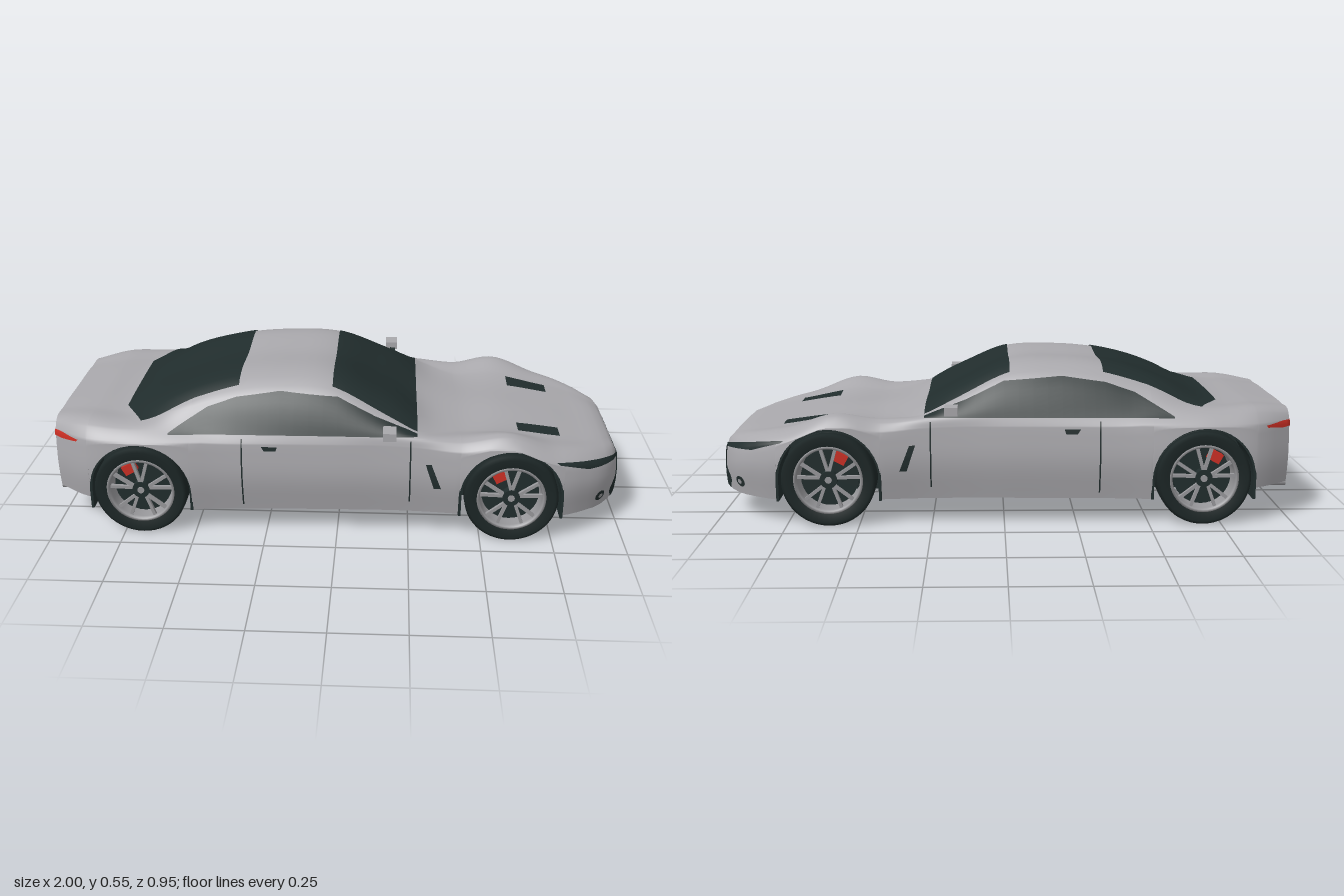
import * as THREE from 'three';

const mat = (name, color, side = THREE.DoubleSide) => {
  const m = new THREE.MeshStandardMaterial({ color, side });
  m.name = name;
  return m;
};
const R_ARCH = 0.178, AXLE_Y = 0.162, AXLES = [-0.685, 0.602];

// Smooth interpolation through rows of [t, ...values]
function smooth(rows, t) {
  let i = 0;
  while (i < rows.length - 2 && t > rows[i + 1][0]) i++;
  const a = rows[i], b = rows[i + 1], h = b[0] - a[0], u = (t - a[0]) / h;
  const slope = (k, j) => {
    const p = rows[k - 1], q = rows[k], r = rows[k + 1];
    if (!p) return (r[j] - q[j]) / (r[0] - q[0]);
    if (!r) return (q[j] - p[j]) / (q[0] - p[0]);
    const h0 = q[0] - p[0], h1 = r[0] - q[0];
    return ((q[j] - p[j]) / h0 * h1 + (r[j] - q[j]) / h1 * h0) / (h0 + h1);
  };
  return a.slice(1).map((v, n) => {
    const j = n + 1, u2 = u * u, u3 = u2 * u;
    return (2 * u3 - 3 * u2 + 1) * v + (u3 - 2 * u2 + u) * h * slope(i, j)
      + (3 * u2 - 2 * u3) * b[j] + (u3 - u2) * h * slope(i + 1, j);
  });
}

// x, widest z, belt z/y, roof or hood edge z/y, centre y
const STATIONS = [
  [-0.995, .33, .30, .372, .20, .383, .385],
  [-0.88, .41, .36, .388, .22, .395, .397],
  [-0.74, .435, .385, .385, .26, .396, .402],
  [-0.60, .437, .385, .385, .32, .428, .447],
  [-0.42, .42, .388, .372, .30, .485, .508],
  [-0.20, .41, .387, .37, .29, .513, .535],
  [0, .405, .385, .37, .295, .50, .52],
  [0.14, .402, .385, .37, .325, .435, .452],
  [0.28, .405, .385, .365, .34, .376, .385],
  [0.43, .418, .38, .355, .26, .346, .352],
  [0.585, .43, .385, .38, .27, .35, .345],
  [0.745, .425, .37, .325, .25, .322, .322],
  [0.86, .375, .32, .30, .22, .302, .302],
  [0.94, .31, .26, .275, .17, .285, .288],
  [0.985, .235, .20, .25, .12, .258, .26],
  [0.997, .20, .17, .225, .10, .232, .235],
];
const floorY = x => x < -0.8 ? 0.125 : 0.088;
const archAt = x => AXLES.find(c => Math.abs(x - c) <= R_ARCH + 1e-6);

// Half cross-section from the lower edge up to the centre line
function halfSection(x) {
  const [w, bz, by, rz, ry, cy] = smooth(STATIONS, x);
  const hz = w - 0.009, hy = Math.min(0.345, by - 0.03);
  const c = archAt(x), out = [];
  const edge = c === undefined ? floorY(x)
    : AXLE_Y + Math.sqrt(Math.max(0, R_ARCH ** 2 - (x - c) ** 2));
  const low = Math.min(edge, hy - 0.002);
  const side = [[0.085, w - 0.02], [Math.min(0.22, hy - 0.04), w], [hy, hz]];
  for (let j = 0; j < 8; j++) {
    const y = low + (hy - low) * j / 8;
    out.push([smooth(side, y)[0], y]);
  }
  const pts = [[w, Math.min(0.22, hy - 0.04)], [hz, hy], [bz, by], [rz, ry], [0, cy], [-rz, ry]];
  let t = 0;
  const rows = pts.map((p, i) => {
    if (i) t += Math.hypot(p[0] - pts[i - 1][0], p[1] - pts[i - 1][1]);
    return [t, ...p];
  });
  for (let k = 1; k < 4; k++)
    for (let j = 0; j < 6; j++)
      out.push(smooth(rows, rows[k][0] + (rows[k + 1][0] - rows[k][0]) * j / 6));
  out.push([0, cy]);
  return out;
}

function stationXs() {
  const xs = [0.985, 0.991];
  for (let i = 0; i <= 64; i++) xs.push(-0.995 + 1.992 * i / 64);
  const kept = xs.filter(x => archAt(x) === undefined);
  for (const c of AXLES) {
    for (let i = 0; i <= 20; i++) kept.push(c - R_ARCH * Math.cos(Math.PI * i / 20));
    kept.push(c - R_ARCH - 0.0003, c + R_ARCH + 0.0003);
  }
  return kept.sort((a, b) => a - b);
}

function geometry(pos, idx) {
  const g = new THREE.BufferGeometry();
  g.setAttribute('position', new THREE.Float32BufferAttribute(pos, 3));
  g.setIndex(idx);
  g.computeVertexNormals();
  return g;
}

function bodyGeometry(xs) {
  const pos = [], idx = [];
  const rings = xs.map(x => {
    const h = halfSection(x);
    return [...h, ...h.slice(0, -1).reverse().map(([z, y]) => [-z, y])].map(([z, y]) => [x, y, z]);
  });
  const n = rings[0].length;
  rings.forEach(r => r.forEach(p => pos.push(...p)));
  for (let i = 0; i < xs.length - 1; i++)
    for (let k = 0; k < n - 1; k++) {
      const a = i * n + k, b = a + n;
      idx.push(a, b, b + 1, a, b + 1, a + 1);
    }
  // nose and tail caps
  for (const [ring, front] of [[rings[rings.length - 1], true], [rings[0], false]]) {
    const c = pos.length / 3;
    pos.push(ring[0][0], 0.18, 0);
    ring.forEach(p => pos.push(...p));
    for (let k = 0; k < n; k++) {
      const a = c + 1 + k, b = c + 1 + (k + 1) % n;
      idx.push(c, front ? b : a, front ? a : b);
    }
  }
  return geometry(pos, idx);
}

export function createModel() {
  const car = new THREE.Group();
  car.name = 'car';
  const paint = mat('silver paint', 0xa9a8ac, THREE.FrontSide), dark = mat('dark glass and trim', 0x212d2d);
  const rubber = mat('tyre rubber', 0x1c2626), alloy = mat('alloy', 0x98989b), red = mat('red', 0xcc2f24);
  const add = (name, geo, m, x = 0, y = 0, z = 0, parent = car) => {
    const o = new THREE.Mesh(geo, m);
    o.name = name;
    o.position.set(x, y, z);
    parent.add(o);
    return o;
  };
  const box = (w, h, d) => new THREE.BoxGeometry(w, h, d);

  const xs = stationXs();
  const body = add('body', bodyGeometry(xs), paint);

  // Thin panel between two edges, laid onto the body along direction d
  const ray = new THREE.Raycaster();
  function panel(name, m, A, B, d, across = 8, lift = 0.004) {
    const dir = new THREE.Vector3(...d).normalize(), pos = [], idx = [];
    const seg = Math.ceil(20 / (A.length - 1)), total = seg * (A.length - 1);
    const at = (E, i) => {
      const k = Math.min(Math.floor(i / seg), E.length - 2);
      return new THREE.Vector3(...E[k]).lerp(new THREE.Vector3(...E[k + 1]), i / seg - k);
    };
    for (let i = 0; i <= total; i++)
      for (let j = 0; j <= across; j++) {
        const p = at(A, i).lerp(at(B, i), j / across);
        ray.set(p.clone().addScaledVector(dir, 0.5), dir.clone().negate());
        const hit = ray.intersectObject(body)[0];
        pos.push(...(hit ? hit.point : p).clone().addScaledVector(dir, lift).toArray());
        if (i < total && j < across) {
          const a = i * (across + 1) + j, b = a + across + 1;
          idx.push(a, b, b + 1, a, b + 1, a + 1);
        }
      }
    add(name, geometry(pos, idx), m);
  }
  const flip = E => E.map(([x, y, z]) => [x, y, -z]);
  const UP = [0, 1, 0];

  // windscreen, rear window and grille
  const screen = [[-0.02, .5, .285], [.13, .45, .318], [.275, .39, .352]];
  panel('windscreen', dark, screen, flip(screen), UP, 24);
  const rear = [[-0.345, .5, .28], [-0.5, .47, .305], [-0.68, .4, .355], [-0.755, .4, .22]];
  panel('rearWindow', dark, rear, flip(rear), UP, 24);
  const grille = [[.98, .228, .185], [.97, .14, .272], [.97, .125, .272], [.97, .092, .25]];
  panel('grille', dark, grille, flip(grille), [1, 0, 0], 24);

  for (const s of [1, -1]) {
    const M = E => s > 0 ? E : flip(E);
    const pair = (name, m, A, B, d, n, lift) => panel(name, m, M(A), M(B), M([d])[0], n, lift);
    const onSide = (name, top, bottom, n = 2) =>
      pair(name, dark, top.map(p => [...p, .4]), bottom.map(p => [...p, .4]), [0, 0, 1], n, 0.003);
    const glass = [[-0.58, .376], [-0.45, .45], [-0.35, .482], [-0.2, .502], [0, .487], [.13, .428], [.275, .375]];
    onSide('sideWindow', glass, glass.map(([x]) => [x, .371]), 8);
    onSide('doorHandle', [[-0.26, .334], [-0.205, .334]], [[-0.25, .318], [-0.21, .318]]);
    onSide('sideVent', [[.305, .28], [.335, .19]], [[.325, .28], [.36, .19]]);
    for (const [x, y0, y1] of [[-0.33, .11, .36], [.25, .13, .36]])
      onSide('doorSeam', [[x, y1], [x, y0]], [[x + .005, y1], [x + .005, y0]], 1);
    pair('hoodVent', dark, [[.63, .35, .255], [.78, .31, .235]], [[.63, .35, .175], [.78, .31, .165]], UP);
    pair('headlight', dark, [[.755, .302, .42], [.86, .287, .37], [.985, .246, .2]],
      [[.765, .293, .42], [.87, .258, .37], [.99, .235, .2]], [.7, .15, .7], 4);
    pair('tailLight', red, [[-0.9, .343, .4], [-0.97, .35, .35], [-1, .348, .12]],
      [[-0.91, .335, .4], [-0.97, .326, .35], [-1, .336, .12]], [-0.7, 0, .7], 3);
    // fog lamp: dark ring with a bright middle
    for (const [r, m, lift] of [[.024, dark, .004], [.011, alloy, .007]]) {
      const arc = k => Array.from({ length: 9 }, (_, i) => {
        const a = Math.PI * i / 8;
        return [.92 - r * .6 * Math.cos(a), .135 + k * r * .8 * Math.sin(a), .325 + r * .8 * Math.cos(a)];
      });
      pair('fogLamp', m, arc(1), arc(-1), [.75, 0, .66], 3, lift);
    }

    // door mirror
    add('mirror', box(.045, .028, .064), paint, .18, .41, s * .442);
    add('mirrorArm', box(.02, .012, .06), dark, .185, .392, s * .395).rotation.x = -s * .3;

    // twin exhausts
    for (const z of [.25, .29])
      for (const [name, r, l, m] of [['exhaust', .016, .06, alloy], ['exhaustBore', .012, .062, dark]])
        add(name, new THREE.CylinderGeometry(r, r, l, 16), m, -0.969, .118, s * z).rotation.z = Math.PI / 2;
    add('jackPost', box(.025, .04, .025), dark, .365, .07, s * .135);
    add('floorRail', box(1.2, .008, .02), dark, -0.1, .084, s * .22);
  }

  // underside
  const pos = [], idx = [];
  xs.forEach((x, i) => {
    const z = archAt(x) !== undefined ? .26 : halfSection(x)[0][0];
    pos.push(x, floorY(x), z, x, floorY(x), -z);
    if (i) idx.push(2 * i - 2, 2 * i - 1, 2 * i, 2 * i - 1, 2 * i + 1, 2 * i);
  });
  add('floorPan', geometry(pos, idx), dark);
  add('subframe', box(.2, .02, .17), dark, .5, .08, 0);
  add('diffuser', box(.05, .035, .5), dark, -0.975, .12, 0);

  // wheel housings
  const arch = (shape, r) => shape.lineTo(-r, AXLE_Y).absarc(0, AXLE_Y, r, Math.PI, 0, true).lineTo(r, .088);
  const r = R_ARCH - .007, R = R_ARCH + .002;
  const wall = arch(new THREE.Shape().moveTo(-R, .088), R);
  const band = arch(new THREE.Shape().moveTo(-R, .088), R);
  band.lineTo(r, .088).lineTo(r, AXLE_Y).absarc(0, AXLE_Y, r, 0, Math.PI, false).lineTo(-r, .088);
  const liner = new THREE.ExtrudeGeometry(band, { depth: .155, bevelEnabled: false, curveSegments: 32 });

  // wheel parts, outer face towards +z
  const lathe = pts => new THREE.LatheGeometry(pts.map(p => new THREE.Vector2(...p)), 48).rotateX(Math.PI / 2);
  const half = [[.116, -.052], [.15, -.06], [.161, -.052], [.162, -.022], [.156, -.02], [.156, -.015], [.162, -.013]];
  const tyre = lathe([...half, ...half.map(([a, b]) => [a, -b]).reverse()]);
  const rim = lathe([[.105, -.05], [.118, -.054], [.119, .054], [.11, .054], [.107, .04], [.105, -.05]]);
  const disc = (rad, t) => new THREE.CylinderGeometry(rad, rad, t, 32).rotateX(Math.PI / 2);
  for (const cx of AXLES)
    for (const s of [1, -1]) {
      add('wheelLiner', liner, dark, cx, 0, s > 0 ? .26 : -.415);
      add('wheelWellWall', new THREE.ShapeGeometry(wall, 32), dark, cx, 0, s * .26);
      const wheel = new THREE.Group();
      wheel.name = 'wheel';
      wheel.position.set(cx, AXLE_Y, s * .367);
      if (s < 0) wheel.rotation.y = Math.PI;
      car.add(wheel);
      add('tyre', tyre, rubber, 0, 0, 0, wheel);
      add('rim', rim, alloy, 0, 0, 0, wheel);
      add('brakeDisc', disc(.1, .012), dark, 0, 0, 0, wheel);
      add('hub', disc(.03, .03), dark, 0, 0, .032, wheel);
      add('hubCap', disc(.012, .034), alloy, 0, 0, .033, wheel);
      for (let i = 0; i < 5; i++)
        for (const k of [-1, 1]) {
          const a = Math.PI / 2 + i * Math.PI * .4 + k * .2;
          const spoke = add('spoke', box(.086, .011, .012), alloy, .067 * Math.cos(a), .067 * Math.sin(a), .038, wheel);
          spoke.rotation.z = a + k * .08;
        }
      add('brakeCaliper', box(.045, .035, .03), red, -s * .04, .072, .018, wheel).rotation.z = s * .5;
    }
  return car;
}
